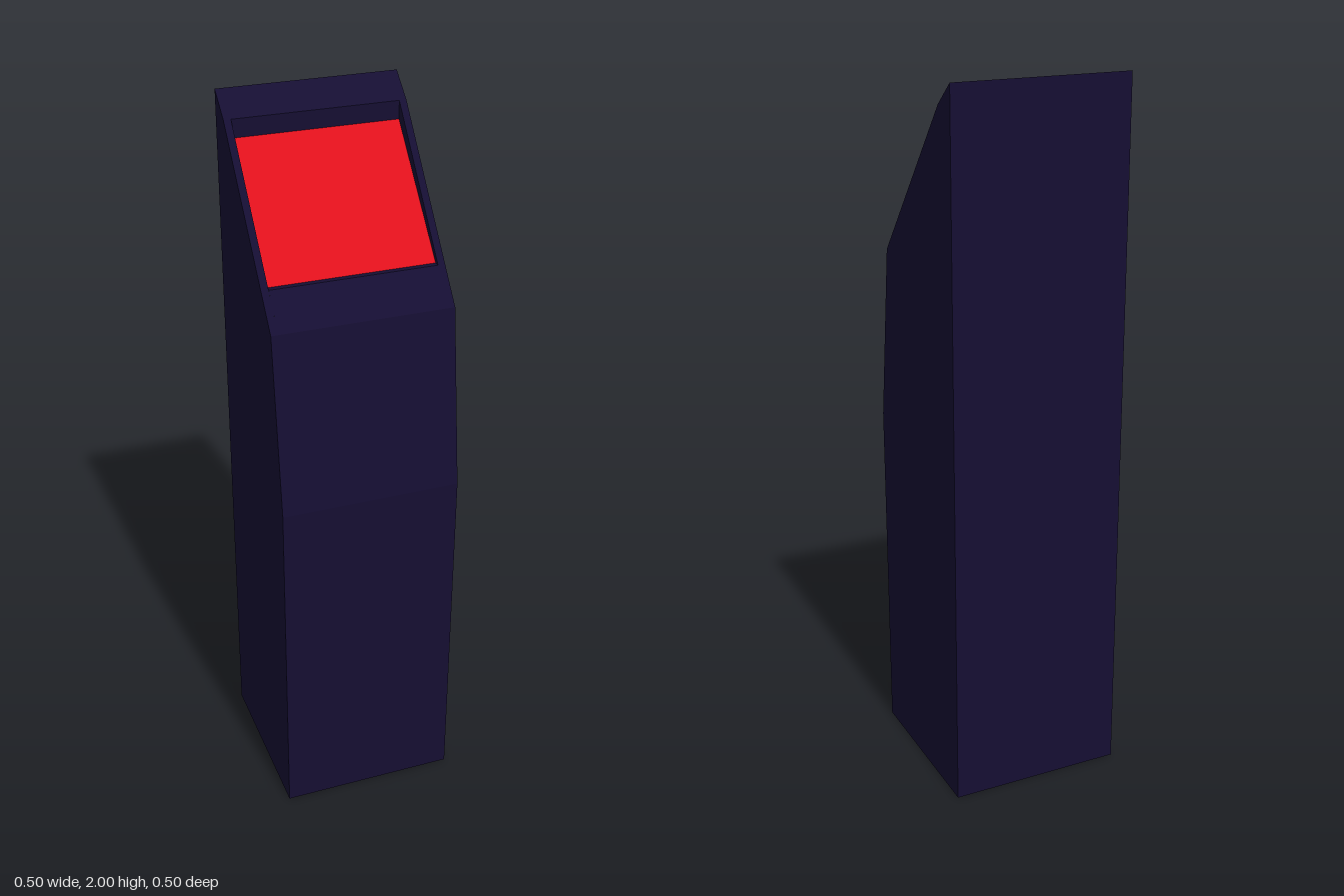
import * as THREE from 'three';

const HALF = 0.25;    // half width of the cabinet
const INNER = 0.23;   // half width of the screen recess

// Side points are [z, y], running counter-clockwise with z to the right.
const LEDGE = [0.111, 1.59], SCREEN_LOW = [0.095, 1.59];
const SCREEN_TOP = [-0.178, 1.89], BROW = [-0.178, 1.94];
const OUTLINE = [[-0.25, 0], [0.25, 0], [0.25, 1], [0.185, 1.5], BROW, [-0.25, 2]];

// Quads spanning x0..x1 along a side path, facing outward
function strip(path, x0, x1) {
  const out = [];
  for (let i = 0; i + 1 < path.length; i++) {
    const [az, ay] = path[i], [bz, by] = path[i + 1];
    out.push(x0, ay, az, x1, ay, az, x1, by, bz);
    out.push(x0, ay, az, x1, by, bz, x0, by, bz);
  }
  return out;
}

// Flat convex side panel at x; faces -x, or +x when the points are reversed
function panel(points, x) {
  const out = [];
  for (let i = 1; i + 1 < points.length; i++) {
    for (const [z, y] of [points[0], points[i], points[i + 1]]) out.push(x, y, z);
  }
  return out;
}

function makeMesh(name, color, parts) {
  const geometry = new THREE.BufferGeometry();
  geometry.setAttribute('position', new THREE.Float32BufferAttribute(parts.flat(), 3));
  geometry.computeVertexNormals();
  const mesh = new THREE.Mesh(geometry, new THREE.MeshStandardMaterial({ color }));
  mesh.name = name;
  return mesh;
}

export function createModel() {
  const group = new THREE.Group();
  group.name = 'kiosk';

  const closed = [...OUTLINE, OUTLINE[0]];
  const recessSide = [LEDGE, BROW, SCREEN_TOP, SCREEN_LOW];

  // Cabinet: side rims, middle skin around the recess, and side panels
  group.add(makeMesh('cabinet', 0x150e32, [
    strip(closed, -HALF, -INNER),
    strip(closed, INNER, HALF),
    strip([...OUTLINE.slice(0, 4), LEDGE, SCREEN_LOW], -INNER, INNER),
    strip([SCREEN_TOP, BROW, OUTLINE[5], OUTLINE[0]], -INNER, INNER),
    panel(OUTLINE, -HALF),
    panel([...OUTLINE].reverse(), HALF),
    panel(recessSide, INNER),
    panel([...recessSide].reverse(), -INNER),
  ]));

  // Screen at the bottom of the recess
  group.add(makeMesh('screen', 0xe0101c, [strip([SCREEN_LOW, SCREEN_TOP], -INNER, INNER)]));

  return group;
}
